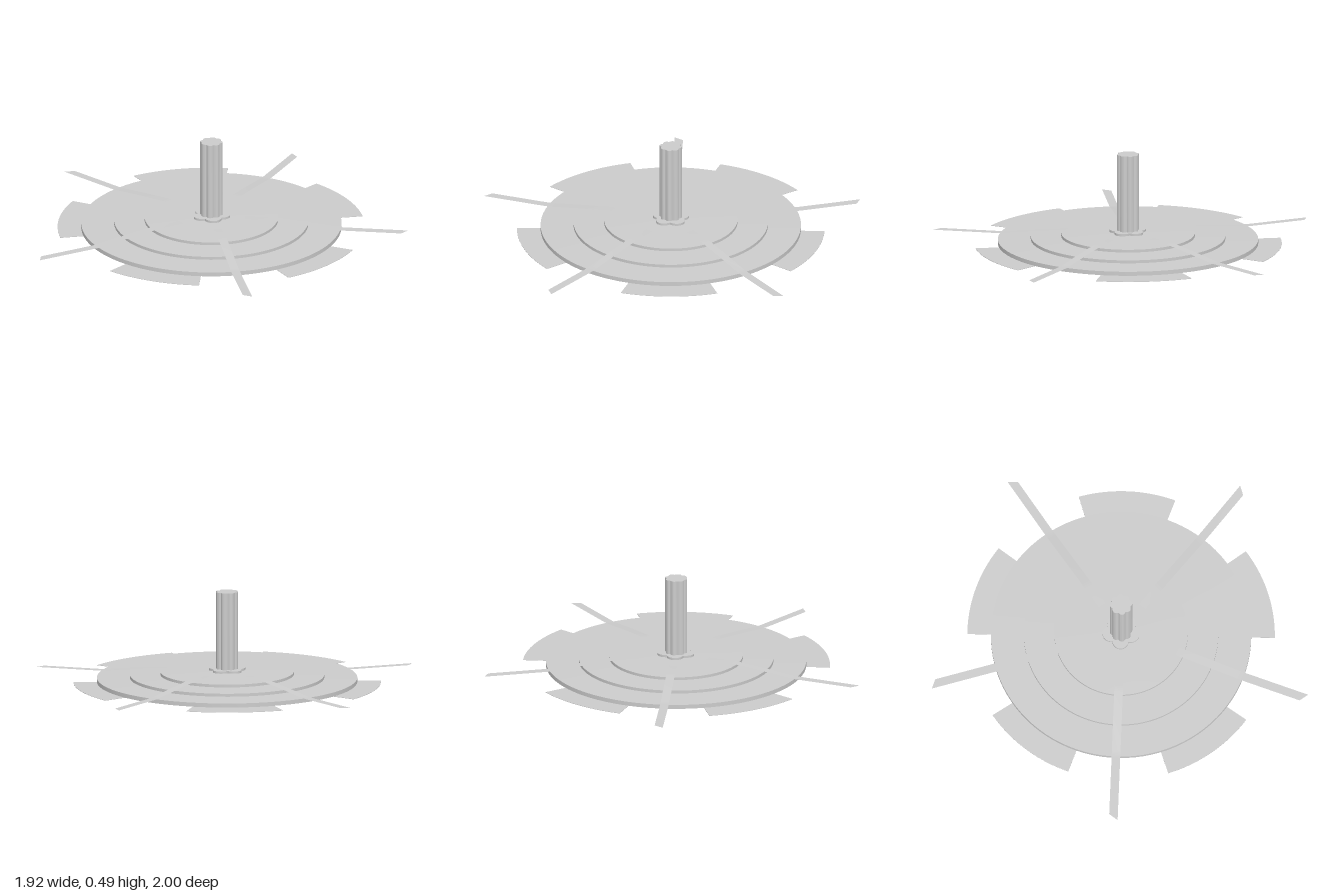
import * as THREE from 'three';
import { toCreasedNormals } from 'three/addons/utils/BufferGeometryUtils.js';

const RAD = Math.PI / 180;

export function createModel() {
  const root = new THREE.Group();
  // the disc sits off centre because the ring of blades is uneven
  const wheel = new THREE.Group();
  wheel.name = 'wheel';
  wheel.position.set(-0.095, 0, 0.006);
  root.add(wheel);

  const grey = new THREE.MeshStandardMaterial({ color: 0xcccccc });
  const sheet = new THREE.MeshStandardMaterial({ color: 0xcccccc, side: THREE.DoubleSide });

  function add(name, geometry, material = grey) {
    const mesh = new THREE.Mesh(geometry, material);
    mesh.name = name;
    wheel.add(mesh);
    return mesh;
  }

  // stepped disc: three tiers with a faint rise toward the hub
  const profile = [
    [0, 0.002], [0.692, 0.002], [0.692, 0.024], [0.517, 0.025], [0.517, 0.041],
    [0.355, 0.042], [0.355, 0.057], [0.1, 0.062], [0, 0.062],
  ].map(([r, y]) => new THREE.Vector2(r, y));
  add('steppedDisc', toCreasedNormals(new THREE.LatheGeometry(profile, 96), 0.5));

  // upright prism with a scalloped outline
  function lobed(radius, depth, lobes, bottom, top) {
    const points = [];
    const steps = lobes * 12;
    for (let i = 0; i < steps; i++) {
      const a = (i / steps) * Math.PI * 2;
      const r = radius - depth * (1 - Math.abs(Math.cos((a * lobes) / 2)));
      points.push(new THREE.Vector2(r * Math.cos(a), r * Math.sin(a)));
    }
    const g = new THREE.ExtrudeGeometry(new THREE.Shape(points), { depth: top - bottom, bevelEnabled: false });
    g.rotateX(-Math.PI / 2).translate(0, bottom, 0);
    return toCreasedNormals(g, 0.5);
  }
  add('hubCollar', lobed(0.1, 0.025, 5, 0.055, 0.074));
  add('column', lobed(0.06, 0.01, 8, 0.06, 0.49));

  // flat rim flaps between the blades, level with the underside
  for (const angle of [36.5, 109.9, 180.5, 255, 326.3]) {
    const half = 18.3 * RAD;
    const shape = new THREE.Shape();
    shape.absarc(0, 0, 0.817, -half, half, false);
    shape.absarc(0, 0, 0.68, half, -half, true);
    const g = new THREE.ExtrudeGeometry(shape, { depth: 0.002, bevelEnabled: false, curveSegments: 24 });
    g.rotateX(-Math.PI / 2);
    add('rimFlap', g).rotation.y = angle * RAD;
  }

  // thin blades that climb the tiers; tips are cut at a slant
  const path = [[0.18, 0.0615], [0.3, 0.0615], [0.34, 0.0605], [0.5, 0.0455], [0.66, 0.028], [0.7, 0.025], [1.035, 0.025]];
  const blade = new THREE.PlaneGeometry(1, 1, path.length - 1, 1).rotateX(-Math.PI / 2);
  const pos = blade.attributes.position;
  for (let i = 0; i < pos.count; i++) {
    const k = i % path.length;
    const side = i < path.length ? -1 : 1;
    const slant = k === path.length - 1 ? -side * 0.016 : 0;
    pos.setXYZ(i, path[k][0] + slant, path[k][1], side * 0.023);
  }
  blade.computeVertexNormals();
  for (let i = 0; i < 5; i++) {
    add('blade', blade, sheet).rotation.y = (0.6 + 72 * i) * RAD;
  }

  return root;
}
